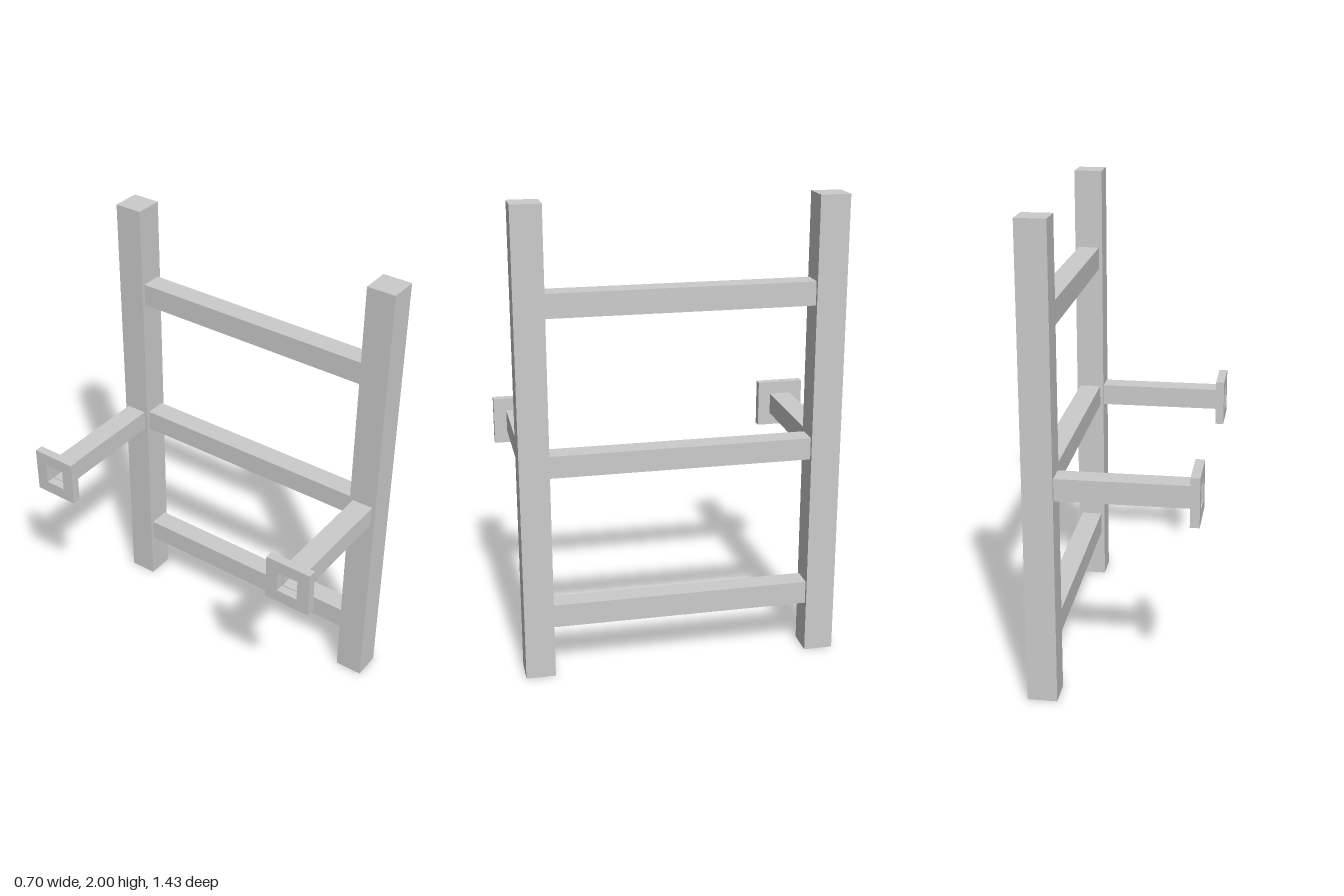
import * as THREE from 'three';

const material = new THREE.MeshStandardMaterial({ color: 0xcccccc, flatShading: true });

function addMesh(parent, name, geometry, x, y, z) {
  const mesh = new THREE.Mesh(geometry, material);
  mesh.name = name;
  mesh.position.set(x, y, z);
  parent.add(mesh);
  return mesh;
}

// Square shape with a square hole, extruded along +x from the origin
function squareTube(outer, inner, length) {
  const corners = (s) => [[-s, -s], [s, -s], [s, s], [-s, s]].map(([a, b]) => new THREE.Vector2(a, b));
  const shape = new THREE.Shape(corners(outer / 2));
  shape.holes.push(new THREE.Path(corners(inner / 2).reverse()));
  const geometry = new THREE.ExtrudeGeometry(shape, { depth: length, bevelEnabled: false });
  return geometry.rotateY(Math.PI / 2);
}

export function createModel() {
  const group = new THREE.Group();
  group.name = 'ladderFrame';

  const postX = 0.289, postZ = 0.614, postSize = 0.125;
  const armY = 0.934, armSize = 0.094;
  const plateX = -0.353, plateThickness = 0.038;

  for (const side of [1, -1]) {
    const end = side > 0 ? 'front' : 'back';
    // Upright post
    addMesh(group, end + 'Post', new THREE.BoxGeometry(postSize, 2, postSize), postX, 1, side * postZ);
    // Hollow arm reaching from the post to its end plate
    const armStart = plateX + plateThickness;
    const armLength = postX - postSize / 2 - armStart;
    addMesh(group, end + 'Arm', squareTube(armSize, armSize - 0.008, armLength), armStart, armY, side * postZ);
    // Square end plate, open through the middle
    addMesh(group, end + 'Plate', squareTube(0.205, armSize, plateThickness), plateX, armY, side * postZ);
  }

  // Rungs between the posts
  const rungLength = 2 * postZ - postSize;
  const rungs = [['lowerRung', 0.27, 0.1], ['middleRung', armY, 0.094], ['upperRung', 1.6, 0.1]];
  for (const [name, y, height] of rungs) {
    addMesh(group, name, new THREE.BoxGeometry(0.094, height, rungLength), postX, y, 0);
  }
  return group;
}
